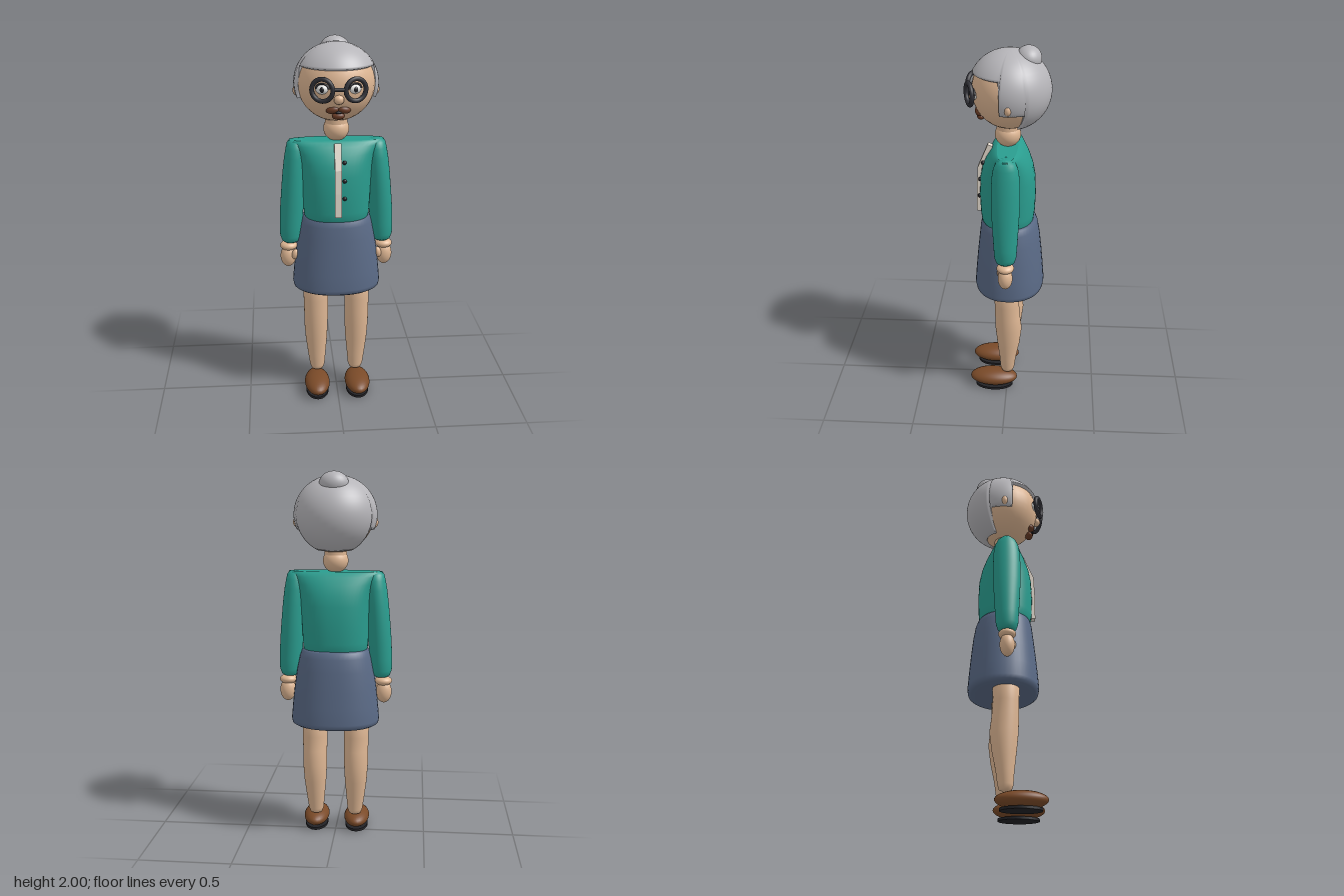
import * as THREE from 'three';

const material = (name, color, side = THREE.FrontSide) =>
  Object.assign(new THREE.MeshStandardMaterial({ color, side }), { name });

const M = {
  skin: material('skin', 0xdfb794),
  hair: material('grey hair', 0xb6b5b9, THREE.DoubleSide),
  teal: material('teal cardigan', 0x2a9d8f),
  blue: material('slate skirt', 0x5a6a86),
  brown: material('brown leather', 0x7a4a28),
  lip: material('dark brown', 0x6a3c26),
  black: material('black', 0x222226),
  frame: material('charcoal frame', 0x303036),
  cream: material('cream trim', 0xe6dccf),
  white: material('eye white', 0xeeeeec),
};

// Closed-around surface from a rule point(row, angle); rows run bottom to top
function grid(rows, cols, point) {
  const pos = [], idx = [];
  for (let i = 0; i < rows; i++)
    for (let j = 0; j < cols; j++) pos.push(...point(i, (j / cols) * Math.PI * 2));
  for (let i = 0; i < rows - 1; i++)
    for (let j = 0; j < cols; j++) {
      const k = (j + 1) % cols;
      const a = i * cols + j, b = i * cols + k, c = a + cols, d = b + cols;
      idx.push(a, b, d, a, d, c);
    }
  const g = new THREE.BufferGeometry();
  g.setAttribute('position', new THREE.Float32BufferAttribute(pos, 3));
  g.setIndex(idx);
  g.computeVertexNormals();
  return g;
}

// Sections are [y, centre x, centre z, half width, half depth]; ends are capped
function loft(sections, power = 2) {
  const first = sections[0], last = sections[sections.length - 1];
  const rings = [[...first.slice(0, 3), 0, 0], ...sections, [...last.slice(0, 3), 0, 0]];
  const bend = (v) => Math.sign(v) * Math.abs(v) ** (2 / power);
  return grid(rings.length, 48, (i, a) => {
    const [y, cx, cz, rx, rz] = rings[i];
    return [cx + rx * bend(Math.sin(a)), y, cz + rz * bend(Math.cos(a))];
  });
}

export function createModel() {
  const root = new THREE.Group();
  root.name = 'elderlyLady';

  const add = (name, geometry, mat, pos = [0, 0, 0], rot = [0, 0, 0], parent = root) => {
    const mesh = new THREE.Mesh(geometry, mat);
    mesh.name = name;
    mesh.position.set(...pos);
    mesh.rotation.set(...rot);
    parent.add(mesh);
    return mesh;
  };
  const ball = (name, mat, pos, r, rot) =>
    add(name, new THREE.SphereGeometry(1, 32, 20).scale(...r), mat, pos, rot);

  // Head, nose and neck
  ball('head', M.skin, [0, 1.775, -0.01], [0.203, 0.2, 0.195]);
  ball('nose', M.skin, [0, 1.722, 0.182], [0.026, 0.024, 0.022]);
  ball('neck', M.skin, [0, 1.533, 0], [0.068, 0.066, 0.068]);
  add('neckTop', new THREE.CylinderGeometry(0.06, 0.06, 0.08, 32), M.skin, [0, 1.575, 0]);

  // Hair cap: stepped hem, high over the face, lower by the ears and at the nape
  const hem = (c) => (c > 0.24 ? 1.87 : c > -0.43 ? 1.7 : 1.59);
  add('hair', grid(22, 120, (i, a) => {
    const low = Math.acos((hem(Math.cos(a)) - 1.775) / 0.207);
    const t = low * (1 - Math.max(i - 1, 0) / 20);
    const s = i === 0 ? 0.9 : 1;
    return [
      0.221 * s * Math.sin(t) * Math.sin(a),
      1.775 + 0.207 * s * Math.cos(t),
      -0.01 + 0.214 * s * Math.sin(t) * Math.cos(a),
    ];
  }), M.hair);
  ball('hairBun', M.hair, [0, 1.936, -0.103], [0.077, 0.064, 0.066]);

  // Mouth
  ball('lowerLip', M.lip, [0, 1.63, 0.138], [0.033, 0.019, 0.022]);
  ball('mouthOpening', M.black, [0, 1.652, 0.15], [0.026, 0.008, 0.014]);

  // Cardigan body and skirt
  add('cardigan', loft([
    [1.045, 0, 0, 0.165, 0.13], [1.06, 0, 0, 0.174, 0.139], [1.1, 0, 0, 0.178, 0.145],
    [1.2, 0, 0, 0.182, 0.149], [1.3, 0, 0, 0.188, 0.145], [1.36, 0, 0, 0.196, 0.133],
    [1.41, 0, 0, 0.212, 0.113], [1.45, 0, 0, 0.238, 0.088], [1.47, 0, 0, 0.254, 0.07],
    [1.477, 0, 0, 0.25, 0.055], [1.477, 0, 0, 0.25, 0.055],
  ], 2.3), M.teal);
  add('skirt', loft([
    [0.635, 0, -0.01, 0.2, 0.15], [0.638, 0, -0.01, 0.222, 0.172], [0.648, 0, -0.01, 0.237, 0.186],
    [0.67, 0, -0.01, 0.241, 0.19], [0.75, 0, -0.01, 0.234, 0.184], [0.85, 0, -0.01, 0.223, 0.175],
    [0.95, 0, -0.01, 0.208, 0.164], [1.02, 0, -0.008, 0.193, 0.154], [1.05, 0, -0.006, 0.182, 0.144],
    [1.06, 0, -0.006, 0.17, 0.134],
  ], 2.2), M.blue);

  // Button placket: a bent strip drawn from the side, then turned to face forward
  const strip = new THREE.Shape(
    [[0.145, 1.09], [0.166, 1.09], [0.166, 1.22], [0.16, 1.345], [0.105, 1.477],
      [0.08, 1.465], [0.14, 1.335], [0.146, 1.22]].map((p) => new THREE.Vector2(...p)));
  add('placket', new THREE.ExtrudeGeometry(strip, { depth: 0.036, bevelEnabled: false })
    .translate(0, 0, -0.018).rotateY(-Math.PI / 2), M.cream);
  for (const [y, z] of [[1.38, 0.13], [1.285, 0.147], [1.19, 0.15]])
    ball('button', M.black, [0.033, y, z], [0.011, 0.011, 0.009]);

  // Glasses bridge
  add('glassesBridge', new THREE.CylinderGeometry(0.01, 0.01, 0.056, 16), M.frame,
    [0, 1.778, 0.21], [0, 0, Math.PI / 2]);

  for (const s of [1, -1]) {
    const side = s > 0 ? 'left' : 'right';
    const named = (part) => side + part;

    // Spectacles, eyes and ears
    add(named('GlassesRim'), new THREE.TorusGeometry(0.055, 0.012, 14, 40), M.frame,
      [s * 0.084, 1.773, 0.19], [0, s * 0.37, 0]);
    ball(named('Eye'), M.white, [s * 0.08, 1.772, 0.152], [0.036, 0.027, 0.03], [0, s * 0.4, 0]);
    ball(named('Iris'), M.black, [s * 0.084, 1.772, 0.172], [0.015, 0.016, 0.012], [0, s * 0.4, 0]);
    add(named('UpperLash'), new THREE.TorusGeometry(0.034, 0.006, 8, 20, Math.PI).scale(1, 0.75, 1),
      M.frame, [s * 0.082, 1.776, 0.172], [0, s * 0.4, 0]);
    ball(named('Ear'), M.skin, [s * 0.2, 1.735, -0.01], [0.026, 0.03, 0.02]);
    ball(named('UpperLip'), M.lip, [s * 0.03, 1.664, 0.145], [0.034, 0.02, 0.022], [0, s * 0.25, s * -0.2]);

    // Sleeve
    add(named('Sleeve'), loft([
      [0.903, s * 0.25, 0, 0.035, 0.036], [0.912, s * 0.25, 0, 0.047, 0.049],
      [0.94, s * 0.25, 0, 0.057, 0.058], [1.0, s * 0.247, 0, 0.061, 0.062],
      [1.1, s * 0.241, 0, 0.063, 0.068], [1.2, s * 0.235, 0, 0.061, 0.073],
      [1.3, s * 0.228, 0, 0.059, 0.074], [1.38, s * 0.221, 0, 0.056, 0.071],
      [1.43, s * 0.217, 0, 0.051, 0.063], [1.46, s * 0.215, 0, 0.046, 0.05],
      [1.477, s * 0.213, 0, 0.036, 0.03],
    ]), M.teal);

    // Wrist, hand and thumb
    ball(named('Wrist'), M.skin, [s * 0.262, 0.878, 0], [0.047, 0.026, 0.046]);
    ball(named('Hand'), M.skin, [s * 0.265, 0.817, 0], [0.043, 0.062, 0.039]);
    ball(named('Thumb'), M.skin, [s * 0.228, 0.835, 0.028], [0.018, 0.03, 0.019], [0, 0, s * 0.2]);

    // Leg, fuller at the calf
    add(named('Leg'), loft([
      [0.1, s * 0.11, -0.003, 0.02, 0.02], [0.107, s * 0.11, -0.003, 0.033, 0.033],
      [0.13, s * 0.11, -0.003, 0.042, 0.04], [0.2, s * 0.112, -0.005, 0.05, 0.047],
      [0.3, s * 0.114, -0.009, 0.061, 0.063], [0.4, s * 0.115, -0.01, 0.067, 0.074],
      [0.48, s * 0.115, -0.004, 0.067, 0.07], [0.56, s * 0.115, 0, 0.069, 0.068],
      [0.7, s * 0.115, 0, 0.071, 0.07],
    ]), M.skin);

    // Shoe and sole
    ball(named('Shoe'), M.brown, [s * 0.115, 0.056, 0.076], [0.071, 0.046, 0.135]);
    add(named('Sole'), new THREE.CylinderGeometry(1, 1, 0.014, 40).scale(0.064, 1, 0.108), M.black,
      [s * 0.115, 0.007, 0.074]);
  }
  return root;
}
